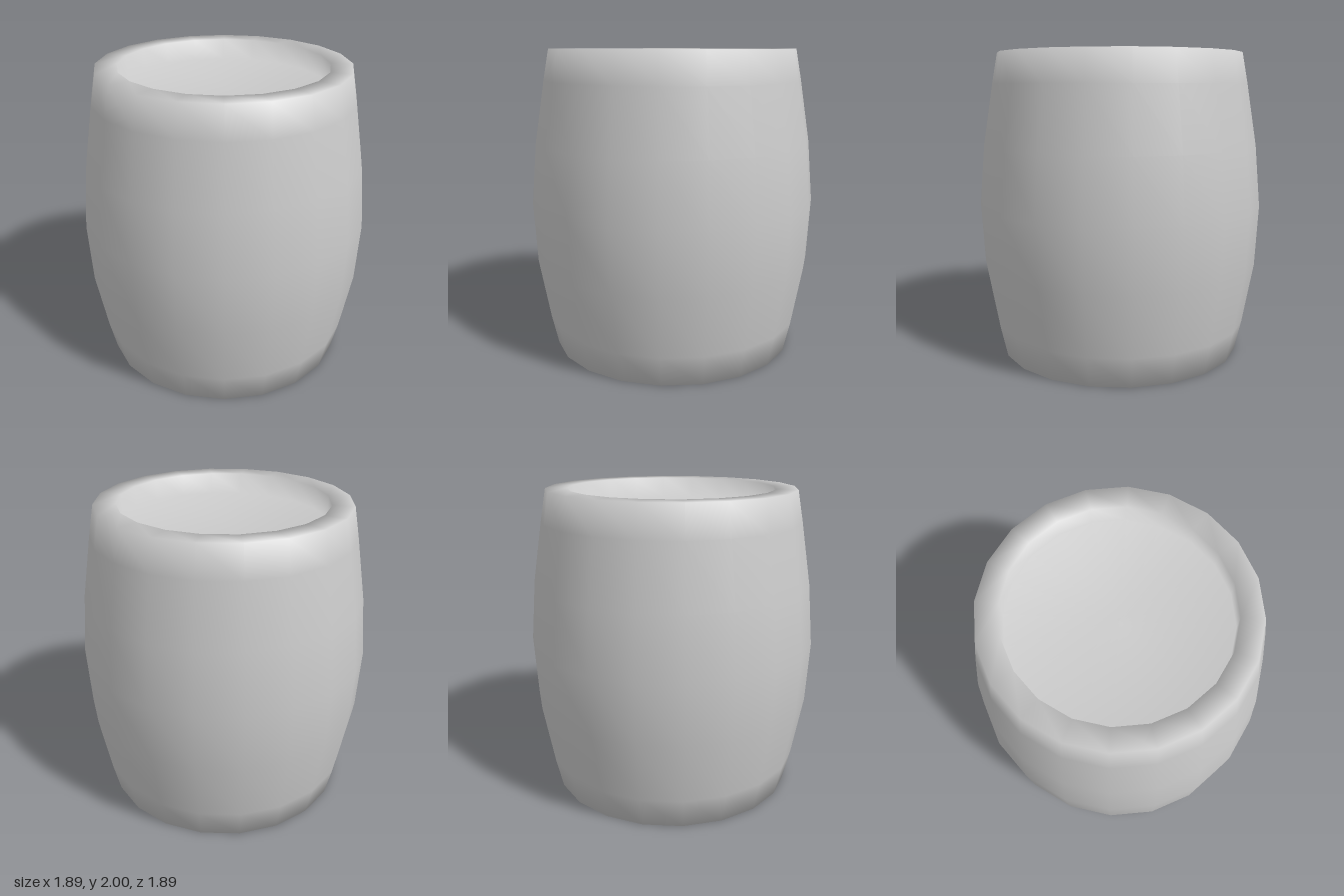
import * as THREE from 'three';

export function createModel() {
  const group = new THREE.Group();
  const headRadius = 0.67;
  const recess = 0.14;

  // Half profile: bottom head, lower rim, bulging staves, upper rim, top head
  const profile = [
    [0, recess], [headRadius, recess], [headRadius, 0],
    [0.81, 0], [0.855, 0.2], [0.926, 0.6], [0.947, 1], [0.912, 1.4], [0.847, 1.8], [0.81, 2],
    [headRadius, 2], [headRadius, 2 - recess], [0, 2 - recess],
  ].map(([r, y]) => new THREE.Vector2(r, y));

  const barrel = new THREE.Mesh(
    new THREE.LatheGeometry(profile, 20),
    new THREE.MeshStandardMaterial({ color: 0xcccccc }),
  );
  barrel.name = 'barrel';
  group.add(barrel);
  return group;
}
